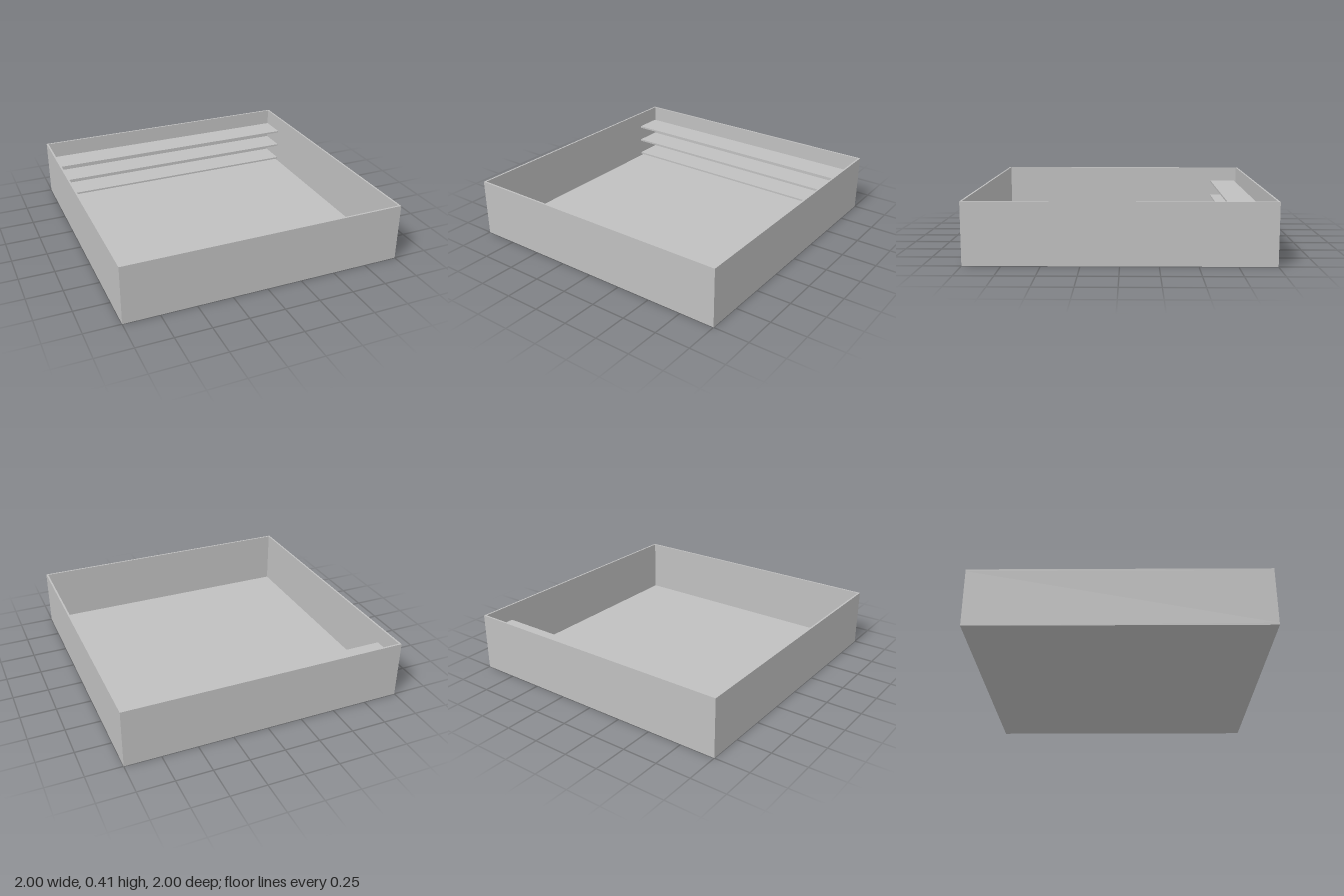
import * as THREE from 'three';

export function createModel() {
  const model = new THREE.Group();
  const grey = new THREE.MeshStandardMaterial({ color: 0xc0c0c0 });
  grey.name = 'plain grey';

  const height = 0.413;
  const wall = 0.013;
  const rimHeight = 0.013;

  // Square ring lying flat, from y0 upward
  function squareRing(name, y0, ringHeight) {
    const square = (r) => [[-r, -r], [r, -r], [r, r], [-r, r]].map(([x, y]) => new THREE.Vector2(x, y));
    const shape = new THREE.Shape(square(1));
    shape.holes.push(new THREE.Path(square(1 - wall).reverse()));
    const geometry = new THREE.ExtrudeGeometry(shape, { depth: ringHeight, bevelEnabled: false });
    geometry.rotateX(-Math.PI / 2);
    const mesh = new THREE.Mesh(geometry, grey);
    mesh.name = name;
    mesh.position.y = y0;
    model.add(mesh);
  }

  // Slab given by its size, top height and z centre
  function slab(name, width, thickness, depth, top, z) {
    const mesh = new THREE.Mesh(new THREE.BoxGeometry(width, thickness, depth), grey);
    mesh.name = name;
    mesh.position.set(0, top - thickness / 2, z);
    model.add(mesh);
  }

  // Basin: floor, walls and top rim
  slab('floor', 2, 0.015, 2, 0.015, 0);
  squareRing('walls', 0.015, height - rimHeight - 0.015);
  squareRing('rim', height - rimHeight, rimHeight);

  // Three shelves stacked along the back wall
  [0.05, 0.175, 0.3].forEach((top, i) => slab(`shelf${i + 1}`, 1.958, 0.014, 0.205, top, -0.8675));

  return model;
}
